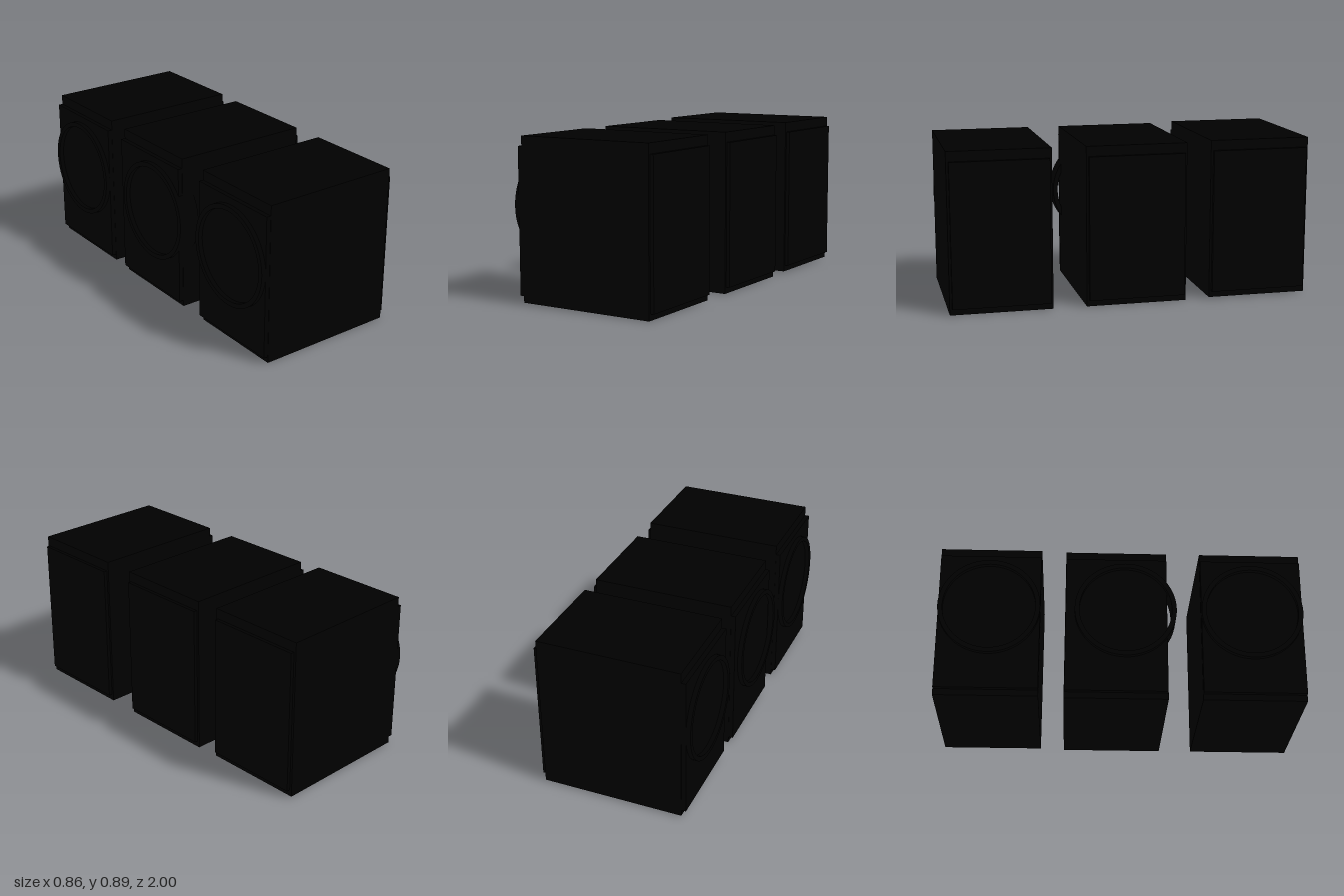
import * as THREE from 'three';
import { toCreasedNormals } from 'three/addons/utils/BufferGeometryUtils.js';

const black = new THREE.MeshStandardMaterial({ color: 0x000000 });

// Box given by its min and max corners
function box(name, [x0, y0, z0], [x1, y1, z1]) {
  const mesh = new THREE.Mesh(new THREE.BoxGeometry(x1 - x0, y1 - y0, z1 - z0), black);
  mesh.name = name;
  mesh.position.set((x0 + x1) / 2, (y0 + y1) / 2, (z0 + z1) / 2);
  return mesh;
}

// Open band with a square-edged rim, its axis along x
function doorRing(x0, x1, outer, inner) {
  const h = x1 - x0;
  const profile = [[inner, 0], [outer, 0], [outer, h], [inner, h], [inner, 0]];
  const lathe = new THREE.LatheGeometry(profile.map(([r, y]) => new THREE.Vector2(r, y)), 64);
  const mesh = new THREE.Mesh(toCreasedNormals(lathe, 0.6), black);
  mesh.name = 'doorRing';
  mesh.rotation.z = -Math.PI / 2;
  mesh.position.x = x0;
  return mesh;
}

// One cabinet, centred on z = 0; its door faces -x
function cabinet(ringShift) {
  const group = new THREE.Group();
  const half = 0.28;
  group.add(box('body', [-0.38, 0, -half], [0.41, 0.883, half]));
  group.add(box('doorPanel', [-0.405, 0.035, -half + 0.002], [-0.38, 0.828, half - 0.002]));
  group.add(box('rearPanel', [0.41, 0.035, -half + 0.013], [0.43, 0.828, half - 0.013]));
  const ring = doorRing(-0.43, -0.31, 0.279, 0.253);
  ring.position.y = 0.512;
  ring.position.z = ringShift;
  group.add(ring);
  return group;
}

export function createModel() {
  const model = new THREE.Group();
  model.name = 'cabinetRow';
  // The middle door ring sits off centre, past the edge of its cabinet
  const row = [
    ['frontCabinet', 0, 0.72, 0],
    ['middleCabinet', 0, -0.025, 0.05],
    ['backCabinet', 0.007, -0.72, 0],
  ];
  for (const [name, y, z, ringShift] of row) {
    const unit = cabinet(ringShift);
    unit.name = name;
    unit.position.set(0, y, z);
    model.add(unit);
  }
  return model;
}
